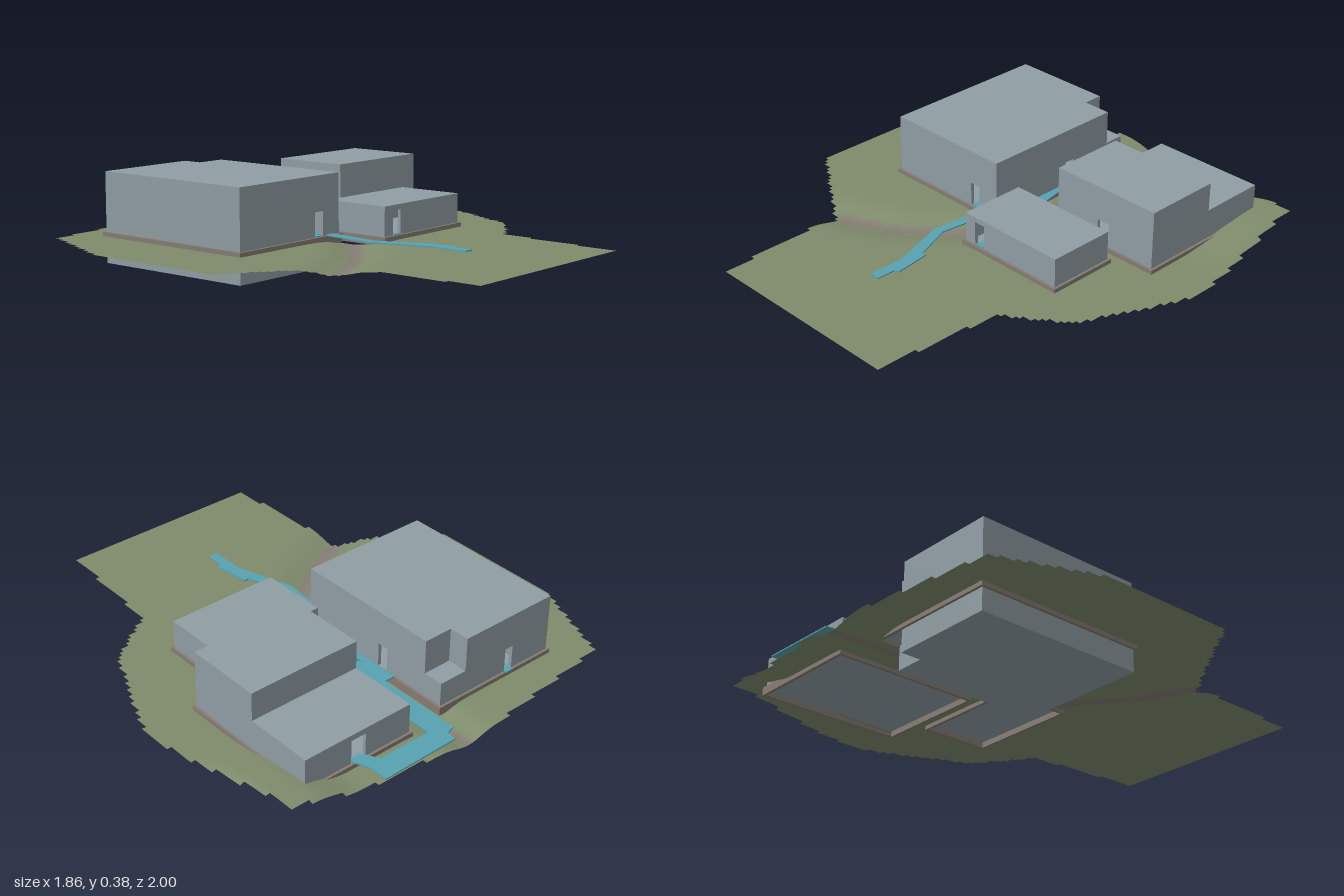
import * as THREE from 'three';

const mat = (name, color, side = THREE.FrontSide) => {
  const m = new THREE.MeshStandardMaterial({ color, side });
  m.name = name;
  return m;
};
const grass = mat('grass', 0x7f8b6c, THREE.DoubleSide);
const earth = mat('earth', 0x857f75, THREE.DoubleSide);
const wallGrey = mat('wallGrey', 0x8f9da3);
const plinthBrown = mat('plinthBrown', 0x857b72);
const pathBlue = mat('pathBlue', 0x57a1b1);

const mesh = (name, geometry, material) => {
  const m = new THREE.Mesh(geometry, material);
  m.name = name;
  return m;
};
const rect = (x0, x1, z0, z1) => [[x0, z1], [x1, z1], [x1, z0], [x0, z0]];
const toVec = pts => pts.map(([x, z]) => new THREE.Vector2(x, -z));

// Flat slab from a plan outline (x, z), with optional holes
function slab(name, outline, y0, y1, material, holes = []) {
  const shape = new THREE.Shape(toVec(outline));
  for (const h of holes) shape.holes.push(new THREE.Path(toVec(h)));
  const g = new THREE.ExtrudeGeometry(shape, { depth: y1 - y0, bevelEnabled: false });
  g.rotateX(-Math.PI / 2).translate(0, y0, 0);
  return mesh(name, g, material);
}

// Hollow block: one wall per plan edge, doors given as { edge: [from, to] } along that edge
const DOOR_Y = [0.132, 0.235], THICK = 0.015;
function building(name, plan, y0, y1, doors = {}) {
  const group = new THREE.Group();
  group.name = name;
  plan.forEach(([ax, az], i) => {
    const [bx, bz] = plan[(i + 1) % plan.length];
    const len = Math.hypot(bx - ax, bz - az);
    const box = (u0, u1, v0, v1) =>
      [[u0, v0], [u1, v0], [u1, v1], [u0, v1]].map(p => new THREE.Vector2(...p));
    const shape = new THREE.Shape(box(0, len, y0, y1));
    if (doors[i]) shape.holes.push(new THREE.Path(box(...doors[i], ...DOOR_Y)));
    const g = new THREE.ExtrudeGeometry(shape, { depth: THICK, bevelEnabled: false });
    g.translate(0, 0, -THICK);
    const wall = mesh('wall', g, wallGrey);
    wall.position.set(ax, 0, az);
    wall.rotation.y = Math.atan2(az - bz, bx - ax);
    group.add(wall);
  });
  group.add(slab('roof', plan, y1 - 0.01, y1, wallGrey));
  group.add(slab('floor', plan, y0, y0 + 0.01, wallGrey));
  return group;
}

// Site outline, building footprints and the line of the gully
const SITE = [[-0.48, 1], [0.435, 1], [0.48, 0.45], [0.72, 0.28], [0.86, -0.03], [0.93, -0.2],
  [0.87, -0.55], [0.81, -0.92], [0.45, -0.97], [0.12, -1], [-0.12, -1], [-0.77, -0.92],
  [-0.94, -0.5], [-0.94, 0.12], [-0.52, 0.41]];
const FOOTPRINTS = [[-0.61, -0.02, -0.8, -0.04], [0.18, 0.69, -0.84, -0.2], [0.02, 0.52, -0.13, 0.17]];
const GULLY = [[0.02, -1], [0.02, 0], [-0.1, 0.12], [-0.3, 0.28], [-0.56, 0.4]];

function gullyDistance(x, z) {
  let best = Infinity;
  for (let i = 0; i < GULLY.length - 1; i++) {
    const [ax, az] = GULLY[i], dx = GULLY[i + 1][0] - ax, dz = GULLY[i + 1][1] - az;
    const t = THREE.MathUtils.clamp(((x - ax) * dx + (z - az) * dz) / (dx * dx + dz * dz), 0, 1);
    best = Math.min(best, Math.hypot(x - ax - t * dx, z - az - t * dz));
  }
  return best;
}

function groundHeight(x, z) {
  const s = THREE.MathUtils.smoothstep;
  const hill = s(x, 0.5, 0.74) * (1 - s(x, 0.82, 0.93)) * s(-z, 0.35, 0.85) * (1 - 0.7 * s(-z, 0.92, 1));
  return 0.113 - 0.03 * Math.exp(-((gullyDistance(x, z) / 0.09) ** 2)) + 0.045 * hill;
}

function insideSite(x, z) {
  let inside = false;
  SITE.forEach(([ax, az], i) => {
    const [bx, bz] = SITE[(i + 1) % SITE.length];
    if ((az > z) !== (bz > z) && x < ax + (bx - ax) * (z - az) / (bz - az)) inside = !inside;
  });
  return inside;
}

// Ground as a fine grid with a stepped edge, open beneath the buildings
function ground() {
  const n = 100, cell = 2 / n, positions = [], green = [], bare = [];
  for (let j = 0; j <= n; j++) for (let i = 0; i <= n; i++) {
    const x = -1 + i * cell, z = -1 + j * cell;
    positions.push(x, groundHeight(x, z), z);
  }
  for (let j = 0; j < n; j++) for (let i = 0; i < n; i++) {
    const x = -1 + (i + 0.5) * cell, z = -1 + (j + 0.5) * cell;
    if (!insideSite(x, z)) continue;
    if (FOOTPRINTS.some(([x0, x1, z0, z1]) => x > x0 && x < x1 && z > z0 && z < z1)) continue;
    const a = j * (n + 1) + i, b = a + n + 1;
    (gullyDistance(x, z) < 0.03 ? bare : green).push(a, b, b + 1, a, b + 1, a + 1);
  }
  const g = new THREE.BufferGeometry();
  g.setAttribute('position', new THREE.Float32BufferAttribute(positions, 3));
  g.setIndex([...green, ...bare]);
  g.addGroup(0, green.length, 0);
  g.addGroup(green.length, bare.length, 1);
  g.computeVertexNormals();
  return mesh('ground', g, [grass, earth]);
}

export function createModel() {
  const model = new THREE.Group();
  model.name = 'buildingSite';
  model.add(ground());

  // Large hall with a basement and a low porch in its back corner
  const hallPlan = [[-0.61, -0.04], [-0.02, -0.04], [-0.02, -0.71], [-0.15, -0.71], [-0.15, -0.8], [-0.61, -0.8]];
  model.add(building('hall', hallPlan, 0, 0.384, { 0: [0.44, 0.49], 1: [0.41, 0.46], 4: [0.22, 0.26] }));
  model.add(building('hallPorch', rect(-0.15, -0.02, -0.8, -0.71), 0.105, 0.235));

  // Two-level house on the left and the small front lodge
  model.add(building('houseHigh', rect(0.18, 0.69, -0.54, -0.2), 0.12, 0.384, { 0: [0.22, 0.28], 3: [0.14, 0.2] }));
  model.add(building('houseLow', rect(0.18, 0.69, -0.84, -0.54), 0.12, 0.26, { 2: [0.22, 0.29] }));
  model.add(building('lodge', rect(0.02, 0.52, -0.13, 0.17), 0.12, 0.257, { 0: [0.055, 0.105], 2: [0.235, 0.285] }));

  // Plinth rings
  for (const [x0, x1, z0, z1] of FOOTPRINTS) {
    const e = 0.011;
    model.add(slab('plinth', rect(x0 - e, x1 + e, z0 - e, z1 + e), 0.095, 0.131, plinthBrown,
      [rect(x0 + 0.002, x1 - 0.002, z0 + 0.002, z1 - 0.002)]));
  }

  // Footpaths
  const frontPath = [[-0.12, -0.1], [-0.06, -0.1], [-0.055, -0.04], [-0.085, 0.2], [-0.02, 0.37], [0, 0.37],
    [0.02, 0.53], [0, 0.54], [0, 0.62], [-0.045, 0.62], [-0.045, 0.46], [-0.125, 0.21], [-0.1, -0.04]];
  const backPath = [[-0.015, -0.55], [0.035, -0.55], [0.035, -0.93], [0.075, -0.94], [0.08, -0.985],
    [0.435, -0.99], [0.435, -0.91], [0.47, -0.82], [0.41, -0.82], [0.37, -0.89], [0.13, -0.89],
    [0.13, -0.51], [0.08, -0.49], [0.1, -0.46], [0.19, -0.42], [0.19, -0.28], [0.3, -0.23],
    [0.44, -0.22], [0.42, -0.17], [0.36, -0.19], [0.22, -0.2], [0.29, -0.12], [0.23, -0.13],
    [0.01, -0.4], [0.06, -0.13], [0.02, -0.13], [-0.015, -0.23]];
  const gap = [[0.12, -0.35], [0.17, -0.32], [0.175, -0.29]];
  model.add(slab('frontPath', frontPath, 0.13, 0.135, pathBlue));
  model.add(slab('backPath', backPath, 0.13, 0.135, pathBlue, [gap]));
  model.add(slab('hallBackStep', rect(-0.405, -0.37, -0.815, -0.74), 0.13, 0.135, pathBlue));
  model.add(slab('hallFrontStep', rect(-0.165, -0.125, -0.12, -0.04), 0.13, 0.135, pathBlue));
  model.add(slab('lodgeStep', rect(0.08, 0.12, 0.08, 0.17), 0.13, 0.135, pathBlue));
  return model;
}
